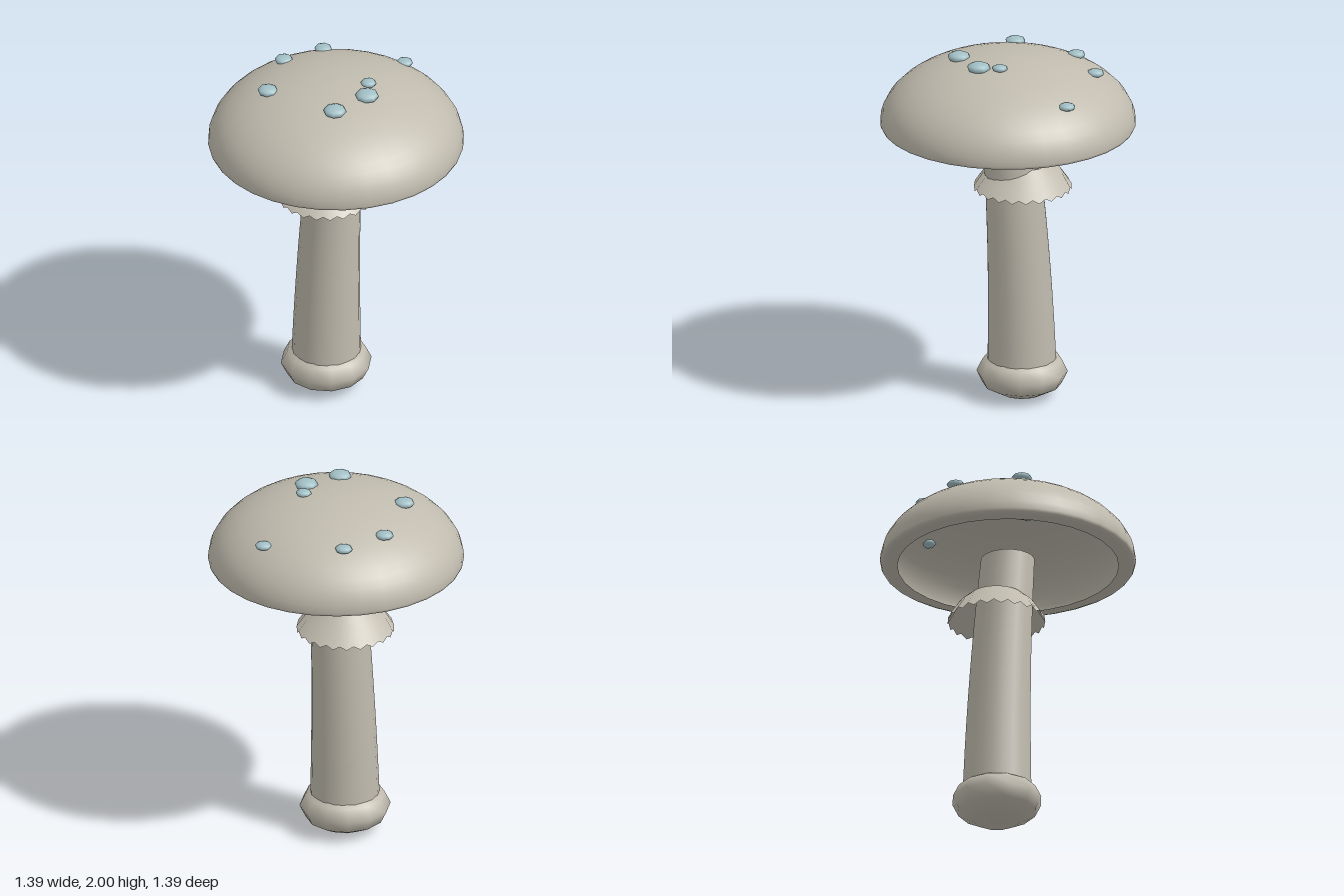
import * as THREE from 'three';

const bodyMat = new THREE.MeshStandardMaterial({ color: 0xc0bbae, side: THREE.DoubleSide });
bodyMat.name = 'stone grey';
const spotMat = new THREE.MeshStandardMaterial({ color: 0xa2c0c6 });
spotMat.name = 'pale blue';

const CAP_RADIUS = 0.695, CAP_BASE = 1.6, CAP_RISE = 0.38, BASE_X = -0.087;

// Height of the elliptical dome at a distance r from its axis
const domeY = (r) => CAP_BASE + CAP_RISE * Math.sqrt(Math.max(0, 1 - (r / CAP_RADIUS) ** 2));

function addMesh(group, name, geometry, material) {
  const mesh = new THREE.Mesh(geometry, material);
  mesh.name = name;
  group.add(mesh);
  return mesh;
}

// Thin hollow dome with a rim turned inwards
function capGeometry() {
  const points = [[0.6, 1.574], [0.665, 1.575], [0.688, 1.584]].map(([r, y]) => new THREE.Vector2(r, y));
  const steps = 14;
  for (let i = 0; i <= steps; i++) {
    const a = (i / steps) * Math.PI / 2;
    points.push(new THREE.Vector2(CAP_RADIUS * Math.cos(a), CAP_BASE + CAP_RISE * Math.sin(a)));
  }
  return new THREE.LatheGeometry(points, 32);
}

// Tapered stalk that bends towards the cap centre as it rises
function stemGeometry() {
  const bottom = 0.14, top = 1.605;
  const g = new THREE.CylinderGeometry(0.147, 0.19, top - bottom, 20, 10);
  g.translate(0, (top + bottom) / 2, 0);
  const p = g.attributes.position;
  for (let i = 0; i < p.count; i++) {
    p.setX(i, p.getX(i) + BASE_X + 0.085 * (p.getY(i) / top) ** 2);
  }
  g.computeBoundingSphere();
  return g;
}

// Open flared collar with a scalloped lower edge
function skirtGeometry() {
  const teeth = 22;
  const g = new THREE.CylinderGeometry(0.15, 0.265, 0.1, teeth * 2, 2, true);
  const p = g.attributes.position;
  for (let i = 0; i < p.count; i++) {
    const column = i % (teeth * 2 + 1);
    if (p.getY(i) < -0.04) p.setY(i, column % 2 ? -0.105 : -0.083);
  }
  return g;
}

export function createModel() {
  const group = new THREE.Group();
  group.name = 'mushroom';

  addMesh(group, 'cap', capGeometry(), bodyMat);
  addMesh(group, 'stem', stemGeometry(), bodyMat);
  addMesh(group, 'skirt', skirtGeometry(), bodyMat).position.set(-0.09, 1.355 - 0.05, 0);
  group.getObjectByName('skirt').position.y = 1.35;
  // Collar top sits at 1.355
  group.getObjectByName('skirt').geometry.translate(0, -0.045, 0);

  // Squashed bulb at the foot
  const bulb = addMesh(group, 'bulb', new THREE.SphereGeometry(0.248, 12, 6), bodyMat);
  bulb.scale.y = 0.55;
  bulb.position.set(BASE_X, 0.138, 0);

  // Flattened spots sunk into the dome: x, z, radius
  const spots = [
    [0.208, -0.052, 0.065], [0.12, -0.13, 0.043], [0.21, 0.17, 0.063], [-0.21, 0.305, 0.056],
    [-0.433, 0.023, 0.05], [-0.414, -0.232, 0.048], [-0.078, -0.53, 0.046],
  ];
  spots.forEach(([x, z, r], i) => {
    const spot = addMesh(group, `spot${i + 1}`, new THREE.SphereGeometry(r, 8, 6), spotMat);
    spot.scale.y = 0.45;
    spot.position.set(x, domeY(Math.hypot(x, z)) + 0.008, z);
  });

  return group;
}
